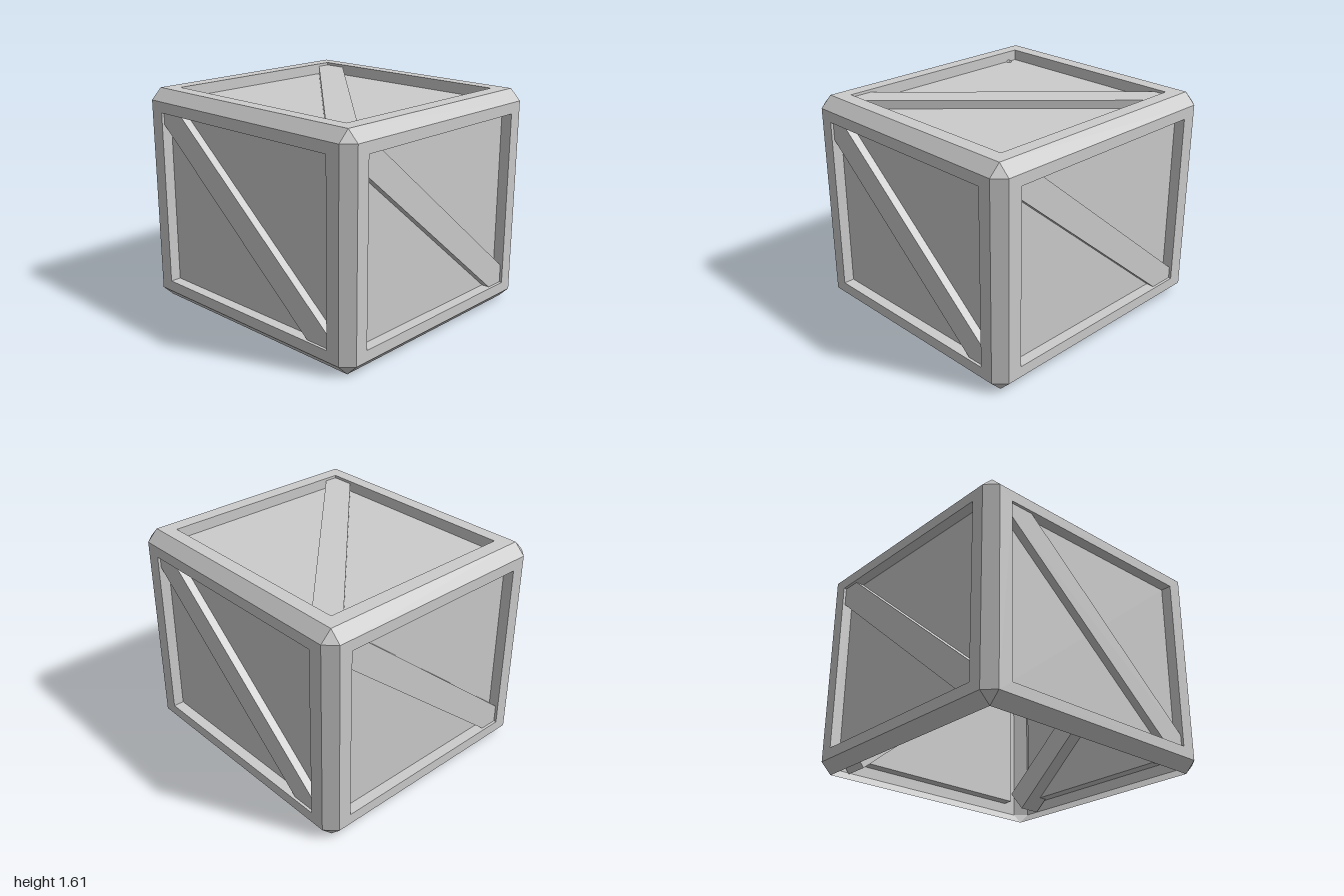
import * as THREE from 'three';

const HALF = [0.935, 0.805, 1]; // half extents of the crate
const BEVEL = 0.08;
const RECESS = 0.08;

const material = new THREE.MeshStandardMaterial({
  color: 0xcccccc, flatShading: true, side: THREE.DoubleSide,
});

function named(name, geometry) {
  const mesh = new THREE.Mesh(geometry, material);
  mesh.name = name;
  return mesh;
}

// Corner of the flat on one axis, at the given signs
function flatCorner(axis, signs) {
  const p = signs.map((s, i) => s * (HALF[i] - (i === axis ? 0 : BEVEL)));
  return new THREE.Vector3(...p);
}

// Bevel strips along all twelve edges and a triangle on each corner
function bevelGeometry() {
  const points = [];
  const addTriangle = (a, b, c) => {
    const normal = b.clone().sub(a).cross(c.clone().sub(a));
    points.push(...(normal.dot(a) > 0 ? [a, b, c] : [a, c, b]));
  };
  for (let k = 0; k < 3; k++) {
    const a = (k + 1) % 3, b = (k + 2) % 3;
    for (const sa of [-1, 1]) for (const sb of [-1, 1]) {
      const [low, high] = [-1, 1].map((sk) => {
        const signs = [0, 0, 0];
        signs[a] = sa; signs[b] = sb; signs[k] = sk;
        return signs;
      });
      addTriangle(flatCorner(a, low), flatCorner(a, high), flatCorner(b, high));
      addTriangle(flatCorner(a, low), flatCorner(b, high), flatCorner(b, low));
    }
  }
  for (const x of [-1, 1]) for (const y of [-1, 1]) for (const z of [-1, 1]) {
    addTriangle(...[0, 1, 2].map((axis) => flatCorner(axis, [x, y, z])));
  }
  const geometry = new THREE.BufferGeometry().setFromPoints(points);
  geometry.computeVertexNormals();
  return geometry;
}

function rectangle(PathType, w, h) {
  return new PathType([[-w, -h], [w, -h], [w, h], [-w, h]].map((p) => new THREE.Vector2(...p)));
}

// One side facing +z: flat frame, recess walls, sunken panel and diagonal brace
function crateSide(name, w, h, innerW, innerH, brace) {
  const side = new THREE.Group();
  side.name = name;

  const shape = rectangle(THREE.Shape, w - BEVEL, h - BEVEL);
  shape.holes.push(rectangle(THREE.Path, innerW, innerH));
  side.add(named('frame', new THREE.ShapeGeometry(shape)));

  for (const s of [-1, 1]) {
    const upright = named('recessWall', new THREE.PlaneGeometry(RECESS, innerH * 2));
    upright.rotation.y = -s * Math.PI / 2;
    upright.position.set(s * innerW, 0, -RECESS / 2);
    const level = named('recessWall', new THREE.PlaneGeometry(innerW * 2, RECESS));
    level.rotation.x = s * Math.PI / 2;
    level.position.set(0, s * innerH, -RECESS / 2);
    side.add(upright, level);
  }

  const panel = named('panel', new THREE.PlaneGeometry(innerW * 2, innerH * 2));
  panel.position.z = -RECESS;

  const bar = named('diagonalBrace', new THREE.BoxGeometry(brace.length, 0.193, brace.depth));
  bar.rotation.z = brace.angle;
  bar.position.z = -0.02 - brace.depth / 2;
  side.add(panel, bar);
  return side;
}

export function createModel() {
  const model = new THREE.Group();
  model.name = 'crate';
  const [hx, hy, hz] = HALF;

  const bevels = named('beveledEdges', bevelGeometry());
  bevels.position.y = hy;
  model.add(bevels);

  // Four walls, matching on opposite sides; the underside is open
  const tilt = THREE.MathUtils.degToRad(-40);
  for (const s of [1, -1]) {
    const turn = s > 0 ? 0 : Math.PI;
    const endWall = crateSide(s > 0 ? 'frontWall' : 'backWall', hx, hy, 0.757, 0.645,
      { length: 2.05, depth: 0.17, angle: tilt });
    endWall.position.set(0, hy, s * hz);
    endWall.rotation.y = turn;

    const sideWall = crateSide(s > 0 ? 'leftWall' : 'rightWall', hz, hy, 0.813, 0.645,
      { length: 2.075, depth: 0.19, angle: tilt });
    sideWall.position.set(s * hx, hy, 0);
    sideWall.rotation.y = turn + Math.PI / 2;
    model.add(endWall, sideWall);
  }

  // Lid
  const lid = crateSide('lid', hx, hz, 0.757, 0.813,
    { length: 2.25, depth: 0.19, angle: THREE.MathUtils.degToRad(45.8) });
  lid.position.y = hy * 2;
  lid.rotation.x = -Math.PI / 2;
  model.add(lid);

  return model;
}
